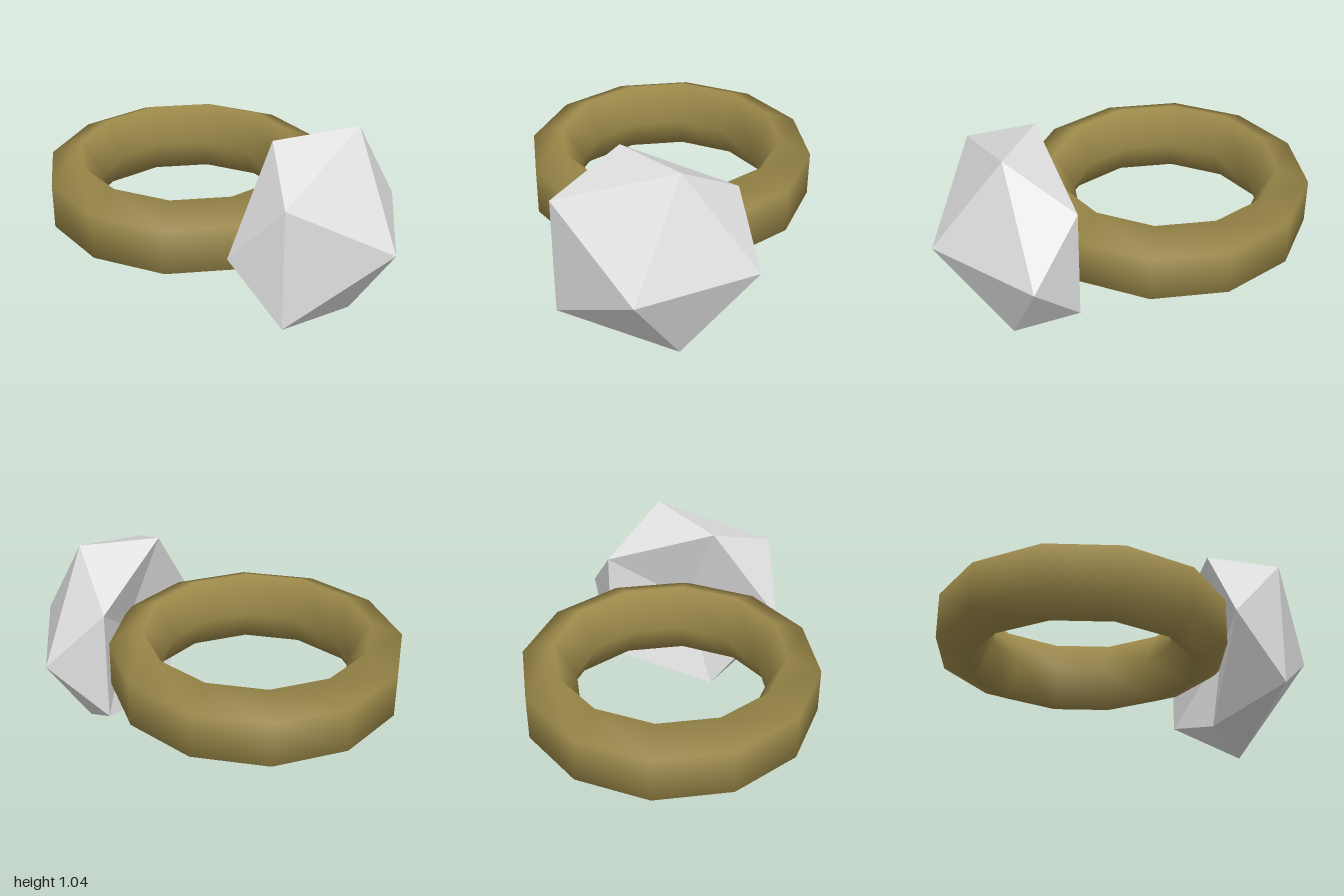
import * as THREE from 'three';
import { mergeVertices } from 'three/addons/utils/BufferGeometryUtils.js';

const CENTER_Y = 0.52;

// Pentagon of points around the z axis.
function pentagon(radius, z, startDegrees) {
  return Array.from({ length: 5 }, (_, i) => {
    const a = THREE.MathUtils.degToRad(startDegrees + 72 * i);
    return [radius * Math.cos(a), radius * Math.sin(a), z];
  });
}

// Lying band: a five-sided oval section swept round twelve steps, smooth shaded.
function createBand(material) {
  const section = Array.from({ length: 6 }, (_, i) => {
    const a = THREE.MathUtils.degToRad(180 + 72 * i);
    return new THREE.Vector2(0.624 + 0.149 * Math.cos(a), 0.203 * Math.sin(a));
  });
  let geometry = new THREE.LatheGeometry(section, 12);
  geometry.deleteAttribute('uv');
  geometry.deleteAttribute('normal');
  geometry = mergeVertices(geometry, 1e-4);
  geometry.computeVertexNormals();
  const band = new THREE.Mesh(geometry, material);
  band.name = 'band';
  band.position.set(0, CENTER_Y, -0.257);
  return band;
}

// Faceted gem: pointed crown, slanted girdle and a hollowed back.
function createGem(material) {
  const tip = [0, 0, 1];
  const hollow = [0, 0, 0.51];
  const girdle = pentagon(0.545, 0.662, 0);
  const back = pentagon(0.507, 0.385, 36);
  const corners = [];
  for (let i = 0; i < 5; i++) {
    const j = (i + 1) % 5;
    corners.push(tip, girdle[i], girdle[j]);
    corners.push(girdle[i], back[i], girdle[j]);
    corners.push(girdle[j], back[i], back[j]);
    corners.push(hollow, back[j], back[i]);
  }
  const geometry = new THREE.BufferGeometry();
  geometry.setAttribute('position', new THREE.Float32BufferAttribute(corners.flat(), 3));
  geometry.computeVertexNormals();
  const gem = new THREE.Mesh(geometry, material);
  gem.name = 'gem';
  gem.position.y = CENTER_Y;
  return gem;
}

export function createModel() {
  const gold = new THREE.MeshStandardMaterial({ color: 0x9b8849 });
  gold.name = 'gold';
  const stone = new THREE.MeshStandardMaterial({ color: 0xe0e0e0 });
  stone.name = 'pale stone';

  const ring = new THREE.Group();
  ring.name = 'gemRing';
  ring.add(createBand(gold), createGem(stone));
  return ring;
}
